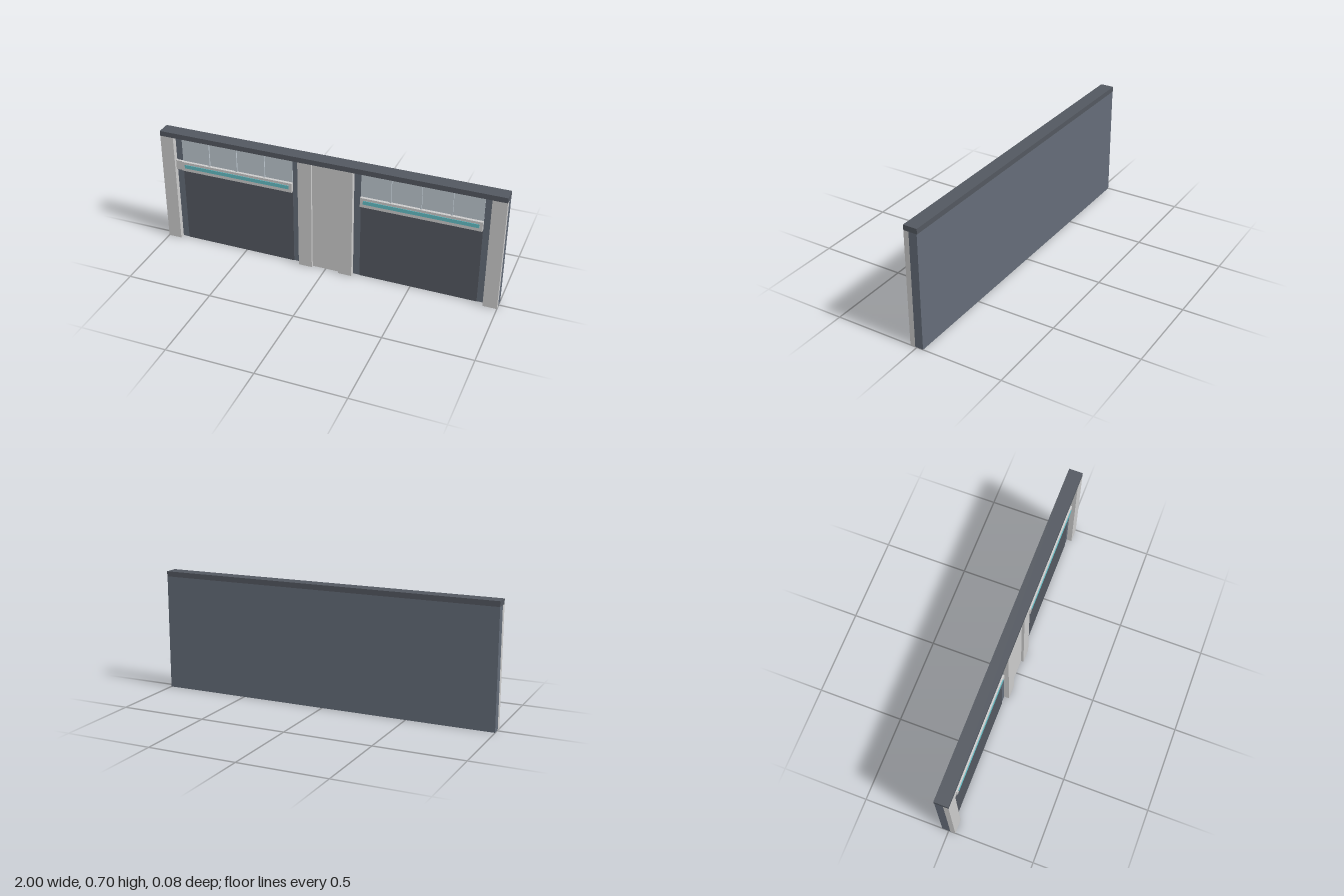
import * as THREE from 'three';

const mat = (color) => new THREE.MeshStandardMaterial({ color, flatShading: true });

export function createModel() {
  const model = new THREE.Group();
  model.name = 'doubleBayWall';

  const grey = mat(0xcccccc);
  const slate = mat(0x646c78);
  const charcoal = mat(0x535860);
  const glass = mat(0xbcc6ce);
  const teal = mat(0x62bcc4);

  // Box given by its extents along each axis
  function box(name, material, [x0, x1], [y0, y1], [z0, z1], parent = model) {
    const mesh = new THREE.Mesh(new THREE.BoxGeometry(x1 - x0, y1 - y0, z1 - z0), material);
    mesh.position.set((x0 + x1) / 2, (y0 + y1) / 2, (z0 + z1) / 2);
    mesh.name = name;
    parent.add(mesh);
    return mesh;
  }

  const top = 0.67;
  const face = 0.01; // front of the backing wall

  // Backing wall and roof cap
  box('backWall', slate, [-1, 1], [0, top], [-0.038, face]);
  box('roofCap', charcoal, [-1, 1], [top, 0.7], [-0.04, 0.04]);

  // Pillars at the ends and either side of the centre, with a recessed panel between
  for (const x of [-1, -0.16, 0.08, 0.92]) {
    box('pillar', grey, [x, x + 0.08], [0, top], [face, 0.04]);
  }
  box('centrePanel', grey, [-0.08, 0.08], [0, top], [face, 0.025]);

  // Bays: door, window band with mullions, and a light rail
  for (const [name, x0] of [['rightBay', -0.88], ['leftBay', 0.2]]) {
    const bay = new THREE.Group();
    bay.name = name;
    model.add(bay);
    const x1 = x0 + 0.68;
    box('door', charcoal, [x0, x1], [0, 0.47], [face, 0.013], bay);
    box('window', glass, [x0, x1], [0.47, top], [face, 0.013], bay);
    for (let i = 1; i < 4; i++) {
      const x = x0 + i * 0.17;
      box('mullion', glass, [x - 0.004, x + 0.004], [0.52, top], [0.013, 0.022], bay);
    }
    box('lightRail', grey, [x0, x1], [0.463, 0.52], [face, 0.03], bay);
    box('lightStrip', teal, [x0 + 0.018, x1 - 0.018], [0.483, 0.505], [0.03, 0.033], bay);
  }

  // Short bracket joining one rail to the end pillar
  box('railBracket', grey, [-0.92, -0.88], [0.463, 0.52], [face, 0.024]);

  return model;
}
